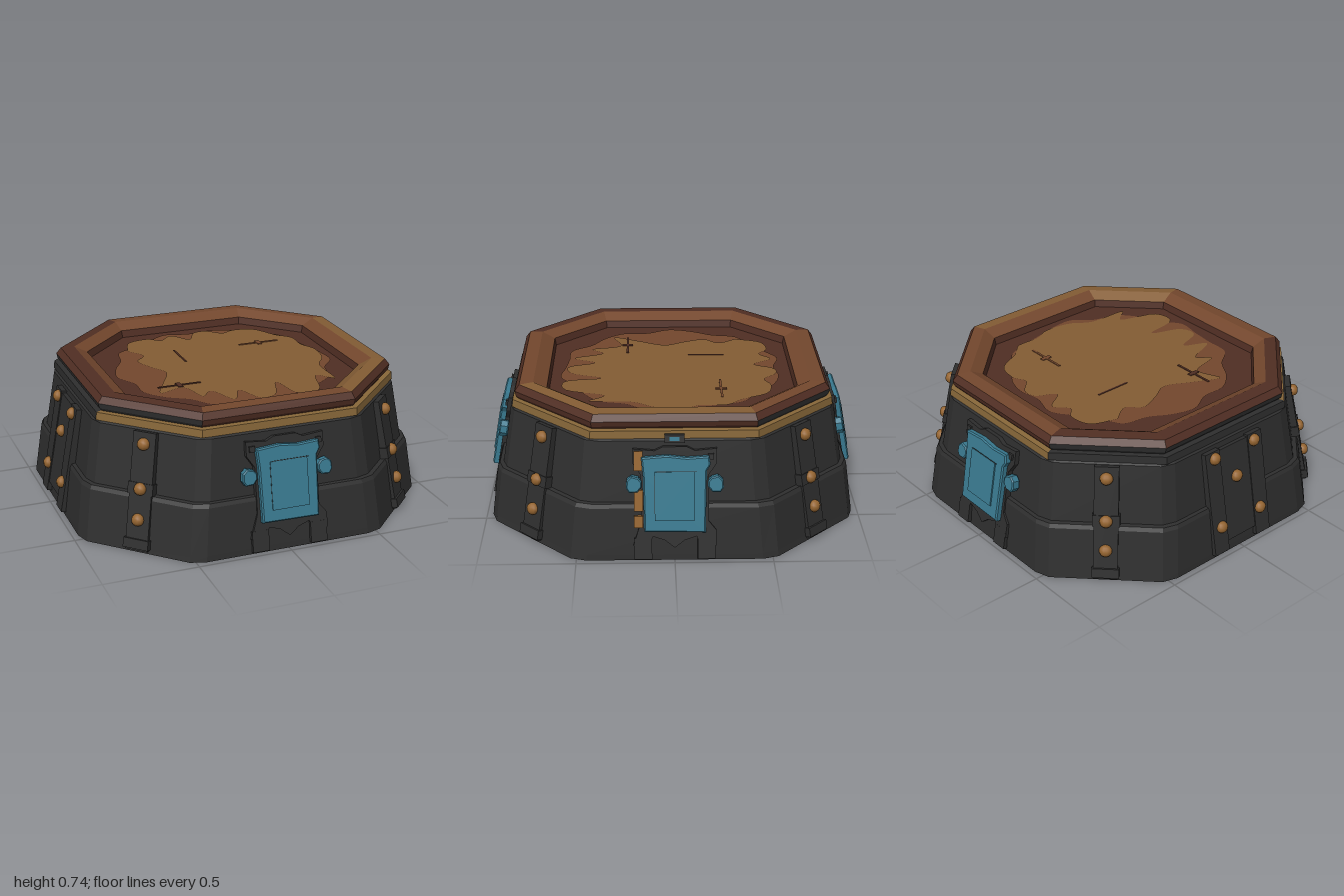
import * as THREE from 'three';

const mat = (name, color) => {
  const m = new THREE.MeshStandardMaterial({ color });
  m.name = name;
  return m;
};

export function createModel() {
  const root = new THREE.Group();
  const iron = mat('dark iron', 0x2e2e2e);
  const darkWood = mat('dark wood', 0x502e23);
  const midWood = mat('mid wood', 0x73472d);
  const lightWood = mat('light wood', 0x835c34);
  const brass = mat('brass band', 0x876739);
  const stud = mat('copper stud', 0x946430);
  const teal = mat('teal enamel', 0x39798f);

  const add = (parent, name, geo, material, x = 0, y = 0, z = 0) => {
    const m = new THREE.Mesh(geo, material);
    m.name = name;
    m.position.set(x, y, z);
    parent.add(m);
    return m;
  };
  const box = (w, h, d) => new THREE.BoxGeometry(w, h, d);

  // Octagon outline: half width h, half edge c, corners optionally cut by f
  const octagon = (h, c, f) => {
    const p = [[c, h], [h, c], [h, -c], [c, -h], [-c, -h], [-h, -c], [-h, c], [-c, h]];
    if (!f) return p;
    const mix = (a, b) => [a[0] + (b[0] - a[0]) * f, a[1] + (b[1] - a[1]) * f];
    return p.flatMap((q, i) => [mix(q, p[(i + 7) % 8]), mix(q, p[(i + 1) % 8])]);
  };

  // Flat-faced loft through octagons [h, c, y], limited to the chosen sides.
  // Sides: 0 front left, 1 left, 2 back left, 3 back, 4 back right, 5 right, 6 front right, 7 front
  const loft = (profile, f = 0, sides = null) => {
    const pos = [];
    const rings = profile.map(([h, c, y]) => octagon(h, c, f).map(([x, z]) => [x, y, z]));
    const n = rings[0].length;
    for (let k = 0; k < rings.length - 1; k++) {
      for (let i = 0; i < n; i++) {
        if (sides && !sides.includes(i)) continue;
        const j = (i + 1) % n, a = rings[k], b = rings[k + 1];
        pos.push(...a[i], ...a[j], ...b[j], ...a[i], ...b[j], ...b[i]);
      }
    }
    const g = new THREE.BufferGeometry();
    g.setAttribute('position', new THREE.Float32BufferAttribute(pos, 3));
    g.computeVertexNormals();
    return g;
  };

  // Hollow tapered base, with a ledge halfway up both wall faces
  add(root, 'baseShell', loft([
    [0.80, 0.405, 0.655], [0.815, 0.41, 0.62], [0.865, 0.43, 0.315], [0.89, 0.445, 0.295],
    [0.945, 0.487, 0.01], [0.968, 0.505, 0.01], [0.965, 0.50, 0.04],
    [0.932, 0.475, 0.285], [0.922, 0.468, 0.305], [0.902, 0.455, 0.307],
    [0.852, 0.425, 0.62], [0.80, 0.405, 0.655],
  ], 0.055), iron);

  // Band under the rim: brass, with two bare iron sides
  const band = [[0.815, 0.41, 0.625], [0.842, 0.422, 0.628], [0.838, 0.42, 0.668], [0.79, 0.4, 0.672]];
  add(root, 'brassBand', loft(band, 0, [0, 1, 2, 3, 6, 7]), brass);
  add(root, 'ironBand', loft(band, 0, [4, 5]), iron);

  // Wooden rim: outer wall, outer top strip, inner top strip, inner drop
  const wall = [[0.80, 0.41, 0.66], [0.82, 0.415, 0.685], [0.826, 0.415, 0.712]];
  add(root, 'rimLowerWood', loft(wall, 0, [0, 1, 3, 7]), darkWood);
  add(root, 'rimLowerIron', loft(wall, 0, [2, 4, 5, 6]), iron);
  add(root, 'rimUpperWall', loft([[0.826, 0.415, 0.712], [0.802, 0.405, 0.745]]), darkWood);
  const outerTop = [[0.802, 0.405, 0.745], [0.73, 0.385, 0.75]];
  const innerTop = [[0.73, 0.385, 0.75], [0.66, 0.37, 0.715]];
  add(root, 'rimTopDark', loft(outerTop, 0, [4, 5, 6]), darkWood);
  add(root, 'rimTopMid', loft(outerTop, 0, [2, 3, 7]), midWood);
  add(root, 'rimTopLight', loft(outerTop, 0, [0, 1]), lightWood);
  add(root, 'rimInnerMid', loft(innerTop, 0, [1, 2, 3, 4, 5, 6, 7]), midWood);
  add(root, 'rimInnerLight', loft(innerTop, 0, [0]), lightWood);
  add(root, 'rimInnerDrop', loft([[0.66, 0.37, 0.715], [0.652, 0.366, 0.675]]), darkWood);

  // Floor with worn patches (outline points are x, z)
  const flat = (pts, smooth) => {
    const v = pts.map(([x, z]) => new THREE.Vector2(x, -z));
    const s = new THREE.Shape();
    if (smooth) s.setFromPoints(new THREE.SplineCurve([...v, v[0]]).getPoints(160).slice(0, -1));
    else s.setFromPoints(v);
    return new THREE.ShapeGeometry(s).rotateX(-Math.PI / 2);
  };
  add(root, 'floor', flat(octagon(0.66, 0.37, 0)), darkWood, 0, 0.675);
  add(root, 'floorUnderside', flat(octagon(0.82, 0.41, 0)).rotateZ(Math.PI), darkWood, 0, 0.65);
  const worn = [];
  for (let i = 0; i < 28; i++) {
    const a = i / 28 * Math.PI * 2, r = 0.59 + 0.025 * Math.sin(i * 2.3);
    worn.push([r * Math.cos(a) + 0.01, r * Math.sin(a)]);
  }
  add(root, 'wornPatch', flat(worn, true), midWood, 0, 0.679);
  add(root, 'brightPatch', flat([
    [-0.42, -0.38], [-0.37, -0.52], [-0.25, -0.55], [-0.18, -0.5], [-0.1, -0.56], [-0.02, -0.46],
    [0.04, -0.56], [0.12, -0.57], [0.2, -0.5], [0.28, -0.53], [0.4, -0.5], [0.48, -0.36],
    [0.55, -0.28], [0.55, -0.15], [0.59, -0.05], [0.57, 0.1], [0.5, 0.22], [0.49, 0.44],
    [0.41, 0.36], [0.34, 0.56], [0.21, 0.57], [0.17, 0.38], [0.1, 0.54], [0, 0.56],
    [-0.06, 0.42], [-0.13, 0.54], [-0.2, 0.38], [-0.27, 0.44], [-0.32, 0.28], [-0.46, 0.32],
    [-0.4, 0.18], [-0.33, 0.03], [-0.38, -0.08], [-0.42, -0.2], [-0.36, -0.28],
  ], true), lightWood, 0, 0.683);
  // Knots and a crack on the bright patch
  for (const [x, z, m] of [[-0.33, 0.24, darkWood], [0.33, -0.26, midWood]]) {
    add(root, 'floorKnot', box(0.24, 0.004, 0.012), m, x, 0.685, z);
    add(root, 'floorKnot', box(0.025, 0.004, 0.06), m, x, 0.685, z);
  }
  add(root, 'floorCrack', box(0.01, 0.004, 0.2), darkWood, -0.17, 0.684, -0.2);

  // Group lying on a sloping wall: local x along it, y up the slope, z outward
  const mount = (name, angle, r, tilt) => {
    const turn = new THREE.Group(), g = new THREE.Group();
    turn.name = name;
    turn.rotation.y = angle;
    g.position.set(0, 0.315, r);
    g.rotation.x = -tilt;
    turn.add(g);
    root.add(turn);
    return g;
  };
  const studGeo = new THREE.SphereGeometry(0.034, 10, 8);
  const addStud = (g, x, y, z) => add(g, 'stud', studGeo, stud, x, y, z).scale.set(1, 0.95, 0.85);

  // Corner straps with three studs
  for (let i = 0; i < 4; i++) {
    const g = mount('cornerStrap', Math.PI / 4 + i * Math.PI / 2, 0.968, 0.21);
    add(g, 'strap', box(0.125, 0.61, 0.06), iron, 0, 0.005, 0);
    add(g, 'strapFoot', box(0.14, 0.05, 0.085), iron, 0, -0.265, 0);
    add(g, 'strapMiddle', box(0.14, 0.06, 0.07), iron, 0, 0.02, 0);
    for (const y of [0.25, 0.02, -0.14]) addStud(g, 0, y, 0.036);
  }

  // Enamel plaques on the front, left and back
  const extrude = (pts, depth, bevel) => new THREE.ExtrudeGeometry(
    new THREE.Shape(pts.map(([x, y]) => new THREE.Vector2(x, y))),
    { depth, bevelEnabled: bevel > 0, bevelThickness: bevel, bevelSize: bevel, bevelSegments: 1 });
  const backingGeo = extrude([
    [-0.21, -0.23], [-0.13, -0.23], [-0.11, -0.18], [-0.05, -0.2], [0, -0.24], [0.05, -0.2],
    [0.11, -0.18], [0.13, -0.23], [0.21, -0.23], [0.21, -0.15], [0.17, -0.1], [0.17, 0.14],
    [0.21, 0.2], [0.21, 0.275], [0.1, 0.265], [0.06, 0.285], [-0.06, 0.285], [-0.1, 0.265],
    [-0.21, 0.275], [-0.21, 0.2], [-0.17, 0.14], [-0.17, -0.1],
  ], 0.05, 0);
  const plateGeo = extrude([
    [-0.147, -0.14], [0.147, -0.145], [0.152, 0.17], [0.17, 0.2], [0.165, 0.235], [0.06, 0.228],
    [-0.04, 0.24], [-0.16, 0.23], [-0.152, 0.14],
  ], 0.024, 0.007);
  // Rounded enamel tab beside the plate
  const tab = [[0.172, 0.085], [0.19, 0.062], [0.225, 0.06], [0.238, 0.08], [0.235, 0.115],
    [0.215, 0.133], [0.185, 0.125], [0.172, 0.108]];
  const tabGeos = [extrude(tab, 0.035, 0.006), extrude(tab.map(([x, y]) => [-x, y]), 0.035, 0.006)];
  const plaques = [0, Math.PI / 2, Math.PI].map((angle) => {
    const g = mount('plaque', angle, 0.908, 0.186);
    add(g, 'plaqueBacking', backingGeo, iron, 0, 0, -0.025);
    add(g, 'plaquePlate', plateGeo, teal, 0, 0, 0.026);
    add(g, 'plaquePanel', box(0.2, 0.25, 0.012), teal, 0, 0.04, 0.058);
    add(g, 'panelTopLine', box(0.2, 0.004, 0.002), iron, 0.01, 0.166, 0.062);
    add(g, 'panelSideLine', box(0.004, 0.2, 0.002), iron, -0.1, 0.05, 0.062);
    for (const geo of tabGeos) add(g, 'plaqueTab', geo, teal, 0, 0, 0.006);
    for (const s of [-1, 1]) {
      add(g, 'backingFoot', box(0.09, 0.11, 0.045), iron, s * 0.16, -0.245, 0.003);
      add(g, 'backingRivet', box(0.03, 0.03, 0.02), iron, s * 0.18, 0.235, 0.026);
    }
    return g;
  });
  // Copper clips and a crest on the left plaque
  for (const [y, h] of [[-0.1, 0.06], [0.01, 0.11], [0.215, 0.1]]) {
    add(plaques[1], 'copperClip', box(0.045, h, 0.03), stud, -0.182, y, 0.022);
  }
  add(plaques[1], 'crest', box(0.1, 0.04, 0.05), iron, 0, 0.325, 0);
  add(plaques[1], 'crestEnamel', box(0.05, 0.02, 0.01), teal, 0, 0.325, 0.022);
  // Enamel bars with round ends showing inside the front wall
  for (const [y, w] of [[-0.11, 0.14], [0.03, 0.34], [0.15, 0.1]]) {
    const bar = new THREE.CapsuleGeometry(0.028, w, 3, 8).rotateZ(Math.PI / 2);
    add(plaques[0], 'innerBar', bar, teal, 0, y, -0.04).scale.z = 0.6;
  }

  // Studded plate on the right
  const side = mount('sidePlate', -Math.PI / 2, 0.908, 0.186);
  add(side, 'platePanel', box(0.36, 0.52, 0.05), iron, 0, 0.02, 0);
  for (const s of [-1, 1]) {
    add(side, 'plateRail', box(0.1, 0.58, 0.06), iron, s * 0.15, 0.0, 0);
    for (const y of [0.25, -0.14]) addStud(side, s * 0.14, y, 0.033);
  }
  addStud(side, 0, 0.1, 0.03);

  return root;
}
